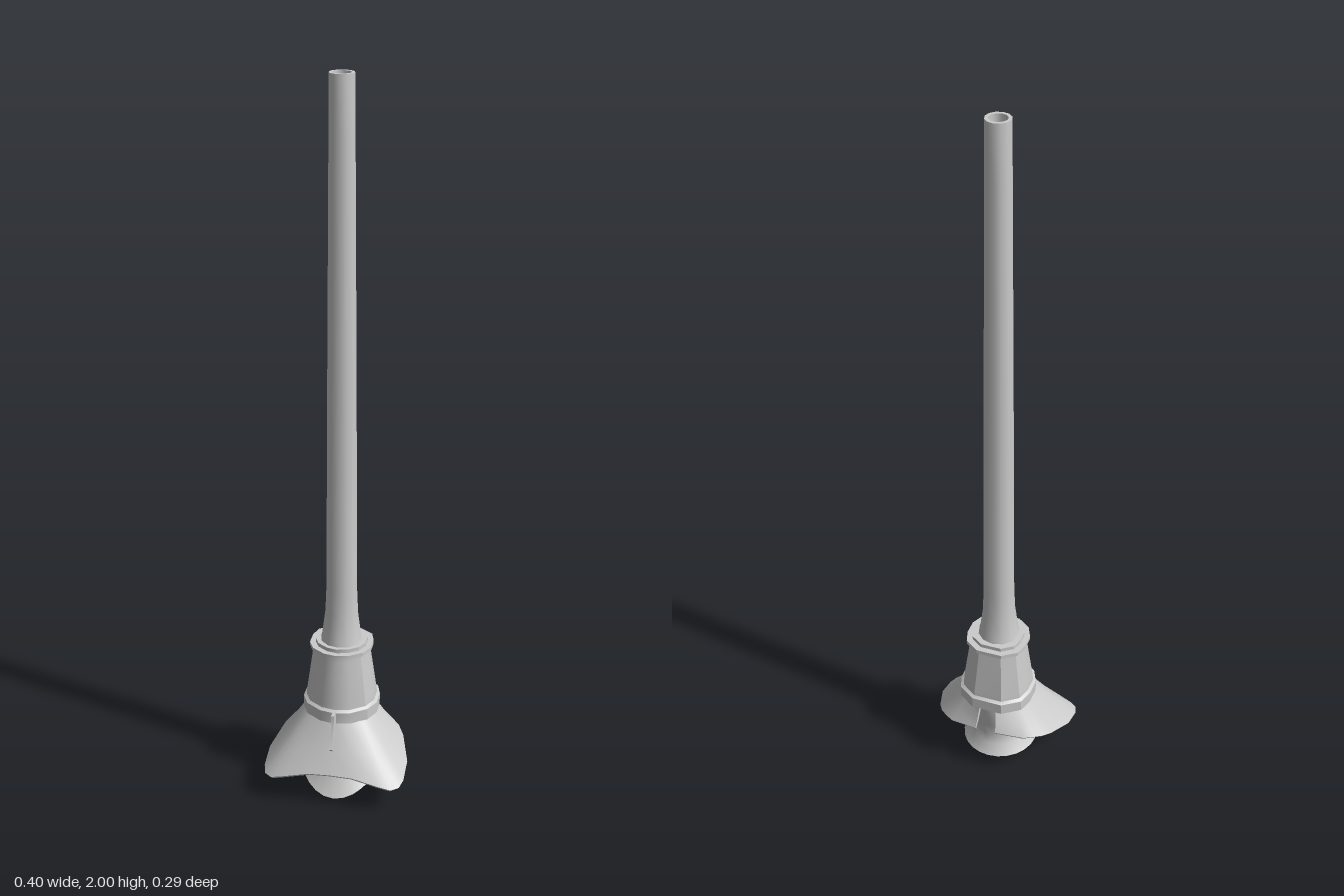
import * as THREE from 'three';
import { toCreasedNormals } from 'three/addons/utils/BufferGeometryUtils.js';

const AXIS_Z = -0.027; // the pipe stands slightly behind the middle
const V = (x, y, z) => new THREE.Vector3(x, y, z);

// Half outline (front middle to back) completed by its mirror image
const mirrored = (half) => [
  ...half.slice(half[0].x === 0 ? 1 : 0).reverse().map((p) => V(-p.x, p.y, p.z)),
  ...half,
];

// Skin over closed loops of equal length, capped at both ends
function loft(sections) {
  const n = sections[0].length;
  const last = (sections.length - 1) * n;
  const index = [];
  const quad = (a, b, c, d) => index.push(a, b, c, a, c, d);
  for (let s = 0; s < last; s += n) {
    for (let i = 0; i < n; i++) {
      const j = (i + 1) % n;
      quad(s + i, s + j, s + n + j, s + n + i);
    }
  }
  for (let i = 0; i < Math.floor(n / 2); i++) {
    const k = n - 1 - i;
    quad(i, k, k - 1, i + 1);
    quad(last + i, last + i + 1, last + k - 1, last + k);
  }
  const geometry = new THREE.BufferGeometry().setFromPoints(sections.flat());
  geometry.setIndex(index);
  return geometry;
}

function lathe(profile, sides) {
  return new THREE.LatheGeometry(profile.map(([r, y]) => new THREE.Vector2(r, y)), sides);
}

export function createModel() {
  const model = new THREE.Group();
  const material = new THREE.MeshStandardMaterial({ color: 0xcccccc, side: THREE.DoubleSide });
  const add = (name, geometry, crease = 0.6) => {
    const mesh = new THREE.Mesh(toCreasedNormals(geometry, crease), material);
    mesh.name = name;
    model.add(mesh);
    return mesh;
  };

  // Long tapered pipe with a flared foot and a hollow mouth
  add('pipe', lathe([
    [0.06, 0.44], [0.055, 0.46], [0.046, 0.53], [0.043, 0.6], [0.039, 1.2],
    [0.034, 1.85], [0.033, 2], [0.024, 2], [0.022, 1.9], [0, 1.885],
  ], 12)).position.z = AXIS_Z;

  // Faceted socket: lower band, tapered body and stepped collar, flat at the back
  const outline = mirrored([
    V(0, 0, 1), V(0.41, 0, 0.91), V(0.82, 0, 0.61), V(1, 0, 0.22),
    V(1, 0, -0.27), V(0.88, 0, -0.67), V(0.42, 0, -1),
  ]);
  const levels = [
    [0.104, 0.232], [0.104, 0.265], [0.096, 0.271], [0.095, 0.285], [0.078, 0.41],
    [0.077, 0.422], [0.086, 0.425], [0.086, 0.436], [0.07, 0.436], [0.07, 0.447], [0.058, 0.447],
  ];
  add('socket', loft(levels.map(([r, y]) =>
    outline.map((p) => V(p.x * r, y, p.z * r + AXIS_Z)))), 0.45);

  // Flared skirt, open in a notch at the back
  const rim = mirrored([
    V(0, 0.105, 0.142), V(0.06, 0.103, 0.142), V(0.135, 0.085, 0.142), V(0.17, 0.074, 0.136),
    V(0.19, 0.075, 0.12), V(0.198, 0.082, 0.09), V(0.198, 0.102, 0.025), V(0.172, 0.133, -0.06),
    V(0.155, 0.144, -0.09), V(0.135, 0.151, -0.11), V(0.11, 0.157, -0.13), V(0.03, 0.165, -0.145),
  ]);
  add('skirt', loft(rim.map((low) => {
    const angle = Math.atan2(low.x, low.z - AXIS_Z);
    const high = V(Math.sin(angle) * 0.098, 0.238, AXIS_Z + Math.cos(angle) * 0.098);
    const middle = high.clone().lerp(low, 0.5);
    middle.y -= 0.005;
    const under = (p, drop, scale) =>
      V(p.x * scale, p.y - drop, AXIS_Z + (p.z - AXIS_Z) * scale);
    return [high, middle, low, under(low, 0.006, 0.97), under(middle, 0.01, 0.95), under(high, 0.008, 0.92)];
  })), 0.7);

  // Bell below the skirt, with a wavy rim dipping at the front
  const bell = lathe([
    [0.088, 0.24], [0.086, 0.18], [0.075, 0.14], [0.07, 0.105], [0.082, 0.075],
    [0.107, 0.045], [0.101, 0.045], [0.074, 0.078], [0.06, 0.105], [0, 0.11],
  ].reverse(), 24);
  const pos = bell.attributes.position;
  for (let i = 0; i < pos.count; i++) {
    const [x, y, z] = [pos.getX(i), pos.getY(i), pos.getZ(i)];
    const flare = THREE.MathUtils.clamp((0.105 - y) / 0.06, 0, 1);
    const front = Math.max(0, z / (Math.hypot(x, z) || 1));
    pos.setY(i, y - 0.045 * flare * front * front);
    pos.setZ(i, z * (1 + 0.04 * flare) + AXIS_Z + 0.014 * flare);
  }
  add('bell', bell);

  // Thin latch standing on the front of the skirt (drawn in z, y)
  const latch = new THREE.Shape([
    [0.07, 0.27], [0.07, 0.232], [0.112, 0.165], [0.137, 0.185], [0.106, 0.24], [0.104, 0.272],
  ].map(([z, y]) => new THREE.Vector2(z, y)));
  const latchGeometry = new THREE.ExtrudeGeometry(latch, { depth: 0.008, bevelEnabled: false });
  latchGeometry.translate(0, 0, -0.004).rotateY(-Math.PI / 2);
  add('latch', latchGeometry);

  return model;
}
